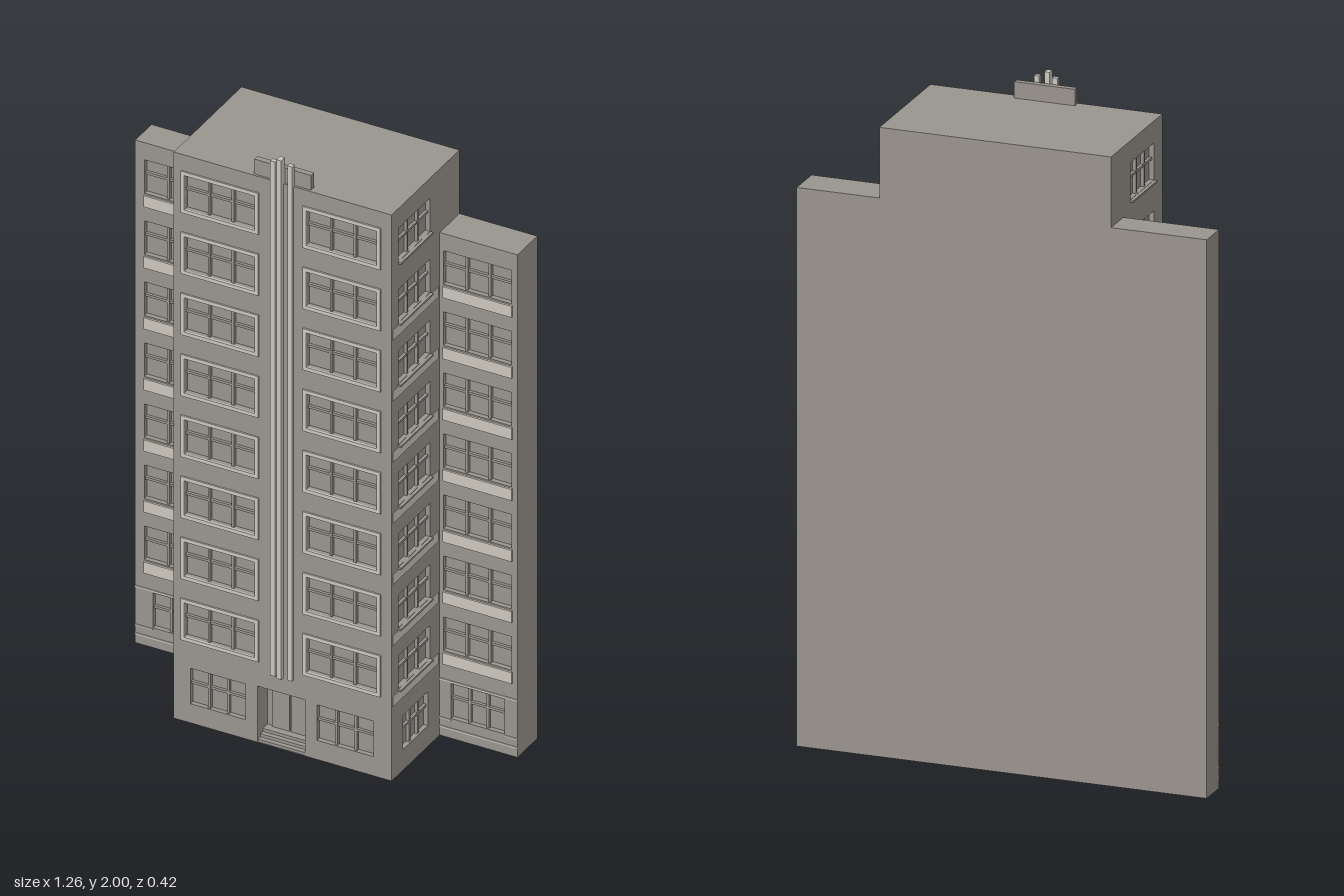
import * as THREE from 'three';

const wall = new THREE.MeshStandardMaterial({ color: 0x99948e });
wall.name = 'warm grey wall';
const trim = new THREE.MeshStandardMaterial({ color: 0xcbc7bd });
trim.name = 'pale stone trim';

const FLOORS = 8, STEP = 0.2065, DEPTH = 0.015;

function box(parent, name, mat, x0, x1, y0, y1, z0, z1) {
  const m = new THREE.Mesh(new THREE.BoxGeometry(x1 - x0, y1 - y0, z1 - z0), mat);
  m.position.set((x0 + x1) / 2, (y0 + y1) / 2, (z0 + z1) / 2);
  m.name = name;
  parent.add(m);
  return m;
}

function rect(path, [x0, x1, y0, y1]) {
  path.moveTo(x0, y0);
  path.lineTo(x1, y0);
  path.lineTo(x1, y1);
  path.lineTo(x0, y1);
  path.closePath();
  return path;
}

// Flat slab with rectangular openings, local z from z0 to z1
function slab(parent, name, mat, outline, holes, z0, z1) {
  const shape = rect(new THREE.Shape(), outline);
  for (const h of holes) shape.holes.push(rect(new THREE.Path(), h));
  const m = new THREE.Mesh(new THREE.ExtrudeGeometry(shape, { depth: z1 - z0, bevelEnabled: false }), mat);
  m.position.z = z0;
  m.name = name;
  parent.add(m);
}

// Glazing bars inside an opening, set just behind the wall face
function bars(parent, [x0, x1, y0, y1]) {
  const g = new THREE.Group();
  g.name = 'windowBars';
  const t = 0.004, za = 0, zb = DEPTH - 0.005;
  for (const f of [0.33, 0.67]) {
    const x = x0 + (x1 - x0) * f;
    box(g, 'mullion', wall, x - t, x + t, y0, y1, za, zb);
  }
  const y = y0 + (y1 - y0) * 0.58;
  box(g, 'transom', wall, x0, x1, y - t, y + t, za, zb - 0.001);
  parent.add(g);
}

// Wall face with recessed windows; local z = DEPTH is the outer surface
function facade(parent, name, outline, windows, openings = []) {
  const g = new THREE.Group();
  g.name = name;
  slab(g, 'wallFace', wall, outline, [...windows, ...openings], 0, DEPTH);
  windows.forEach(w => bars(g, w));
  parent.add(g);
  return g;
}

// One column of identical windows
function column(x0, x1, y0, y1, count) {
  return Array.from({ length: count }, (_, i) => [x0, x1, y0 + i * STEP, y1 + i * STEP]);
}

function buildTower(root) {
  const tower = new THREE.Group();
  tower.name = 'tower';
  root.add(tower);
  const L = -0.34, R = 0.375, H = 1.915, F = 0.195, B = -0.21;
  const door = [-0.065, 0.09, 0.001, 0.19];

  // Core, with a layer in front that is cut out for the entrance
  box(tower, 'core', wall, L + DEPTH, R - DEPTH, 0, H, B, 0.135);
  slab(tower, 'entranceLayer', wall, [L + DEPTH, R - DEPTH, 0, H], [door], 0.135, F - DEPTH);

  // Front face with framed windows
  const upper = [...column(-0.303, -0.072, 0.287, 0.403, FLOORS), ...column(0.097, 0.328, 0.287, 0.403, FLOORS)];
  const ground = [[-0.285, -0.105, 0.065, 0.185], [0.13, 0.315, 0.065, 0.185]];
  const front = facade(tower, 'towerFront', [L, R, 0, H], [...upper, ...ground], [door]);
  front.position.z = F - DEPTH;
  for (const [x0, x1, y0, y1] of upper) {
    const e = 0.012;
    slab(front, 'windowFrame', trim, [x0 - e, x1 + e, y0 - e, y1 + e], [[x0, x1, y0, y1]], DEPTH - 0.002, DEPTH + 0.005);
  }

  // Entrance doors and steps
  const mid = (door[0] + door[1]) / 2;
  for (const s of [-1, 1]) {
    const a = mid + s * 0.003, b = mid + s * 0.06;
    box(tower, 'doorLeaf', wall, Math.min(a, b), Math.max(a, b), 0.03, 0.165, 0.134, 0.141);
  }
  for (let i = 0; i < 3; i++) {
    box(tower, 'entranceStep', wall, door[0], door[1], 0, 0.01 * (i + 1), 0.134, F - 0.002 - i * 0.015);
  }

  // Side faces: u runs along the wall, mirrored between the two sides
  for (const side of [1, -1]) {
    const u = (za, zb) => (side > 0 ? [-zb, -za] : [za, zb]);
    const shift = side > 0 ? 0 : -0.025;
    const win = u(-0.033 + shift, 0.153 + shift);
    const low = u(-0.022 + shift, 0.126 + shift);
    const windows = [...column(...win, 0.29, 0.402, FLOORS), [...low, 0.07, 0.185]];
    const g = facade(tower, side > 0 ? 'towerLeftSide' : 'towerRightSide', [...u(B, F - DEPTH), 0, H], windows);
    g.rotation.y = side * Math.PI / 2;
    g.position.x = side > 0 ? R - DEPTH : L + DEPTH;
    const band = u(side > 0 ? -0.082 : -0.102, 0.19);
    for (let i = 0; i < FLOORS; i++) {
      const y = 0.283 + i * STEP;
      box(g, 'windowSill', wall, win[0] - 0.003, win[1] + 0.003, y, y + 0.006, DEPTH - 0.002, DEPTH + 0.01);
      if (i < FLOORS - 1) box(g, 'spandrelBand', trim, ...band, y - 0.034, y, DEPTH - 0.002, DEPTH + 0.002);
    }
  }

  // Vertical fins and the roof block behind them
  [[-0.019, 1.985, 0.203], [0.005, 2.0, 0.21], [0.037, 1.985, 0.203]].forEach(([x, top, z]) =>
    box(tower, 'verticalFin', trim, x, x + 0.016, 0.245, top, 0.188, z));
  box(tower, 'roofBlock', wall, -0.08, 0.107, H, 1.965, 0.17, 0.188);
}

function buildWing(root, name, x0, x1, front, wx, gx) {
  const g = new THREE.Group();
  g.name = name;
  root.add(g);
  const H = 1.7;
  box(g, 'wingCore', wall, x0, x1, 0, H, -0.21, front - DEPTH);
  const windows = [...column(...wx, 0.29, 0.403, FLOORS - 1), [...gx, 0.067, 0.185]];
  const f = facade(g, 'wingFront', [x0, x1, 0, H], windows);
  f.position.z = front - DEPTH;
  // Pale bands below the windows
  for (let i = 0; i < FLOORS - 1; i++) {
    const y = 0.247 + i * STEP;
    box(f, 'spandrelBand', trim, wx[0], wx[1] + 0.004, y, y + 0.038, DEPTH - 0.002, DEPTH + 0.006);
  }
  // Thin string courses on the ground floor
  for (const y of [0.03, 0.19]) {
    box(f, 'stringCourse', trim, x0, x1, y, y + 0.005, DEPTH - 0.002, DEPTH + 0.003);
  }
  for (const [a, b] of [[x0, gx[0]], [gx[1], x1]]) {
    box(f, 'stringCourse', trim, a, b, 0.06, 0.064, DEPTH - 0.002, DEPTH + 0.003);
  }
}

export function createModel() {
  const root = new THREE.Group();
  root.name = 'apartmentBuilding';
  buildTower(root);
  buildWing(root, 'rightWing', -0.635, -0.34, -0.113, [-0.605, -0.375], [-0.577, -0.402]);
  buildWing(root, 'leftWing', 0.375, 0.63, -0.092, [0.388, 0.61], [0.412, 0.588]);
  return root;
}
